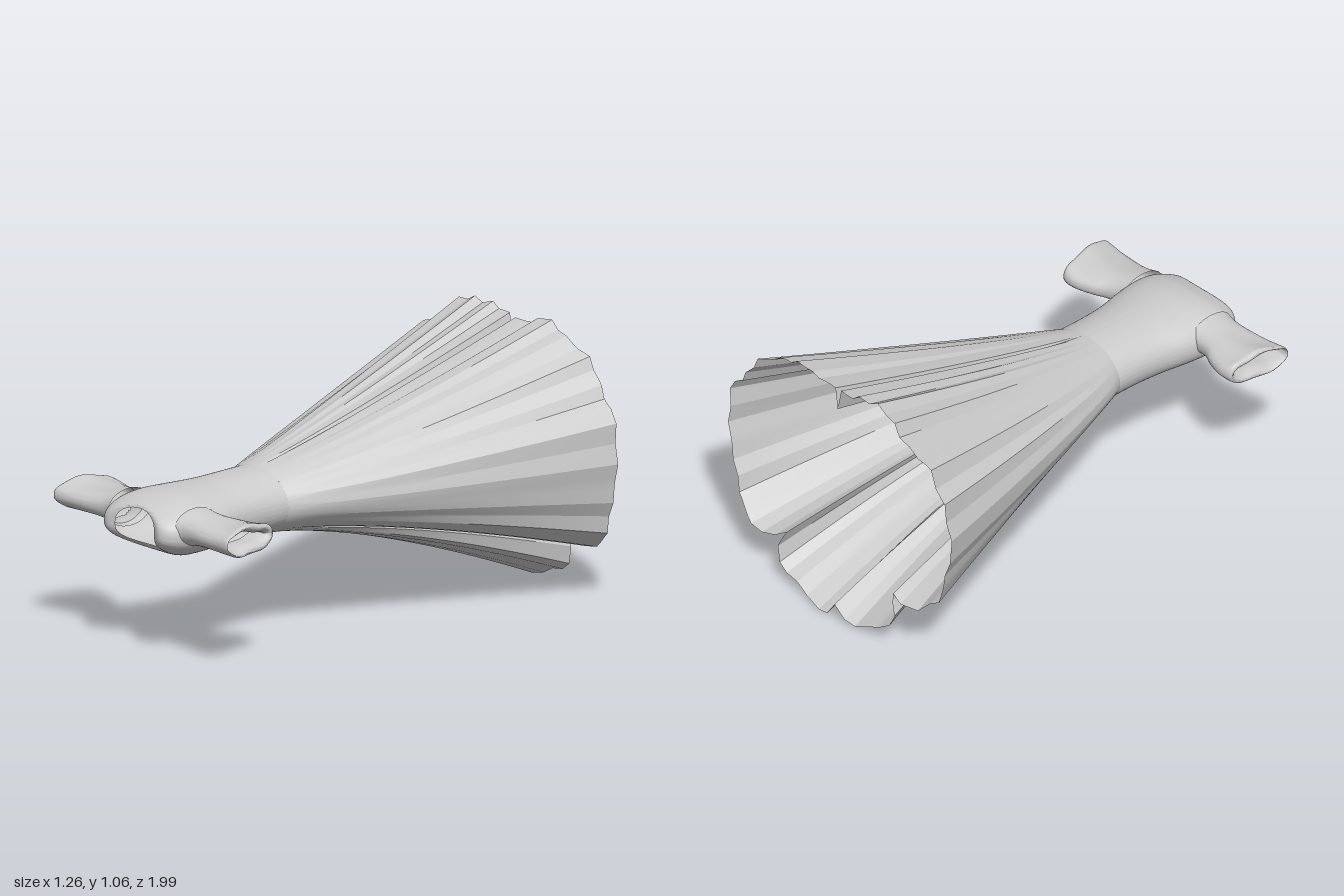
import * as THREE from 'three';
import { toCreasedNormals } from 'three/addons/utils/BufferGeometryUtils.js';

const cloth = new THREE.MeshStandardMaterial({ color: 0xcccccc, side: THREE.DoubleSide });
const MID = 0.53; // height of the dress axis

// Skin a list of closed rings; skip(point) leaves a hole in the cloth
function loft(name, rings, crease, skip = () => false) {
  const n = rings[0].length, position = [], index = [];
  rings.forEach(ring => ring.forEach(p => position.push(p.x, p.y, p.z)));
  for (let r = 0; r < rings.length - 1; r++) {
    for (let i = 0; i < n; i++) {
      const j = (i + 1) % n;
      const centre = rings[r][i].clone().add(rings[r + 1][j]).multiplyScalar(0.5);
      if (skip(centre)) continue;
      const a = r * n + i, b = r * n + j, c = a + n, d = b + n;
      index.push(a, c, b, b, c, d);
    }
  }
  const geometry = new THREE.BufferGeometry();
  geometry.setAttribute('position', new THREE.Float32BufferAttribute(position, 3));
  geometry.setIndex(index);
  const mesh = new THREE.Mesh(toCreasedNormals(geometry, crease), cloth);
  mesh.name = name;
  return mesh;
}

// Smoothly resample a table of section parameters
function resample(rows, count) {
  const out = [];
  for (let k = 0; k <= count; k++) {
    const s = k / count * (rows.length - 1), i = Math.min(Math.floor(s), rows.length - 2), u = s - i;
    const at = q => rows[Math.max(0, Math.min(rows.length - 1, q))];
    out.push(rows[0].map((_, c) => {
      const [p, q, r, t] = [at(i - 1)[c], at(i)[c], at(i + 1)[c], at(i + 2)[c]];
      return q + 0.5 * u * (r - p + u * (2 * p - 5 * q + 4 * r - t + u * (3 * (q - r) + t - p)));
    }));
  }
  return out;
}

const roundedSine = (a, power) => Math.sign(Math.sin(a)) * Math.pow(Math.abs(Math.sin(a)), power);

// Skirt: pleated hem outline gathered into the waist
function makeSkirt() {
  const hem = [
    [0.015, 0.93], [0.03, 1.02], [0.12, 1.02], [0.15, 1.04], [0.23, 1.05], [0.27, 1.02], [0.33, 1.01],
    [0.39, 0.97], [0.45, 0.95], [0.47, 0.90], [0.52, 0.85], [0.54, 0.80], [0.59, 0.77], [0.62, 0.72],
    [0.615, 0.64], [0.63, 0.56], [0.61, 0.48], [0.60, 0.40], [0.57, 0.34], [0.56, 0.27], [0.51, 0.23],
    [0.46, 0.19], [0.40, 0.18], [0.33, 0.20], [0.28, 0.23], [0.31, 0.16], [0.30, 0.09], [0.26, 0.06],
    [0.20, 0.05], [0.14, 0.02], [0.06, 0.00], [0.01, 0.01], [-0.03, 0.07], [-0.08, 0.02], [-0.13, 0.01],
    [-0.20, 0.04], [-0.25, 0.06], [-0.31, 0.10], [-0.34, 0.16], [-0.31, 0.24], [-0.36, 0.22], [-0.45, 0.23],
    [-0.50, 0.28], [-0.55, 0.31], [-0.58, 0.40], [-0.59, 0.46], [-0.62, 0.53], [-0.63, 0.64], [-0.60, 0.71],
    [-0.59, 0.79], [-0.53, 0.83], [-0.50, 0.90], [-0.43, 0.92], [-0.39, 0.96], [-0.34, 0.98], [-0.31, 1.03],
    [-0.25, 1.035], [-0.20, 1.06], [-0.16, 1.04], [-0.11, 1.055], [-0.08, 1.03], [-0.01, 1.03],
  ];
  const edge = [];
  hem.forEach(([x, y], i) => {
    const [x2, y2] = hem[(i + 1) % hem.length];
    for (let k = 0; k < 3; k++) {
      const u = k / 3;
      edge.push([x + (x2 - x) * u, y + (y2 - y) * u]);
    }
  });
  const rings = [], steps = 24;
  for (let k = 0; k <= steps; k++) {
    const t = k / steps;
    rings.push(edge.map(([x, y]) => {
      const a = Math.atan2((y - MID) / 0.53, x / 0.63);
      const wx = 0.19 * Math.cos(a), wy = MID + 0.13 * Math.sin(a);
      const low = THREE.MathUtils.smoothstep(MID - y, 0, 0.4);
      const hemZ = -0.942 - 0.033 * THREE.MathUtils.smoothstep(MID - y, 0.25, 0.35)
        - 0.025 * low * Math.exp(-x * x / 0.02) + 0.008 * Math.sin(23 * x) * (1 - low);
      return new THREE.Vector3(
        wx + (x - wx) * Math.pow(t, 0.87 + 0.18 * low),
        wy + (y - wy) * Math.pow(t, 1.12 + 0.3 * low),
        0.36 + (hemZ - 0.36) * t);
    }));
  }
  return loft('skirt', rings, 0.2);
}

// Bodice: waist up to the shoulders, rolling in to the neck opening
function makeBodice() {
  // side z, top z, bottom z, half width, top y, bottom y, roundness
  const rows = [
    [0.36, 0.36, 0.36, 0.19, 0.66, 0.40, 1], [0.48, 0.48, 0.48, 0.188, 0.655, 0.40, 0.95],
    [0.60, 0.60, 0.60, 0.198, 0.65, 0.40, 0.9], [0.72, 0.72, 0.72, 0.223, 0.65, 0.40, 0.88],
    [0.83, 0.80, 0.77, 0.235, 0.65, 0.40, 0.88], [0.91, 0.87, 0.82, 0.225, 0.64, 0.402, 0.85],
    [0.965, 0.92, 0.86, 0.195, 0.622, 0.415, 0.85], [0.99, 0.95, 0.885, 0.155, 0.608, 0.433, 0.8],
    [0.98, 0.955, 0.89, 0.113, 0.60, 0.443, 0.75],
  ];
  const n = 128;
  const rings = resample(rows, 72).map(([zs, zt, zb, w, top, bottom, power]) =>
    Array.from({ length: n }, (_, i) => {
      const a = i / n * Math.PI * 2, s = Math.sin(a);
      const mid = (top + bottom) / 2, half = (top - bottom) / 2;
      return new THREE.Vector3(
        w * Math.cos(a),
        mid + half * roundedSine(a, s > 0 ? power : power * 0.95 + 0.05),
        zs + ((s > 0 ? zt : zb) - zs) * s * s);
    }));
  const armhole = p => Math.abs(p.x) > 0.14 &&
    Math.hypot((p.z - 0.855) / 0.07, (p.y - 0.545) / 0.045) < 1;
  return loft('bodice', rings, 1.2, armhole);
}

// Sleeve: flattened open tube with a slanted, turned-in cuff
function makeSleeve(side) {
  // x, back z, front z, bottom y, top y, slant, pinch of the back edge
  const rows = [
    [0.19, 0.73, 0.945, 0.47, 0.62, 0, 0], [0.23, 0.735, 0.935, 0.478, 0.612, 0, 0],
    [0.28, 0.725, 0.935, 0.485, 0.603, 0, 0], [0.34, 0.70, 0.94, 0.488, 0.598, 0.01, 0],
    [0.41, 0.68, 0.945, 0.488, 0.598, 0.02, 0], [0.46, 0.675, 0.95, 0.487, 0.603, 0.03, 0],
    [0.495, 0.68, 0.952, 0.487, 0.607, 0.035, 0], [0.503, 0.695, 0.948, 0.495, 0.60, 0.035, 0.3],
    [0.47, 0.71, 0.945, 0.507, 0.59, 0.03, 0.7], [0.40, 0.72, 0.94, 0.51, 0.588, 0.02, 0.7],
  ];
  const n = 48;
  const rings = resample(rows, 45).map(([x, z0, z1, y0, y1, slant, pinch]) =>
    Array.from({ length: n }, (_, i) => {
      const a = -side * i / n * Math.PI * 2, c = Math.cos(a);
      // soft creases, strongest near the cuff
      const crease = 0.004 * Math.sin(5 * a + 14 * x) * (x - 0.19) / 0.3;
      const half = (y1 - y0) / 2 * (1 - pinch * (1 - c) / 2);
      return new THREE.Vector3(
        side * (x - slant * (1 - c) / 2),
        (y0 + y1) / 2 + (half + crease) * roundedSine(a, 0.85),
        (z0 + z1) / 2 + (z1 - z0) / 2 * c);
    }));
  return loft(side > 0 ? 'leftSleeve' : 'rightSleeve', rings, 1.0);
}

export function createModel() {
  const dress = new THREE.Group();
  dress.name = 'dress';
  dress.add(makeSkirt(), makeBodice(), makeSleeve(1), makeSleeve(-1));
  return dress;
}
